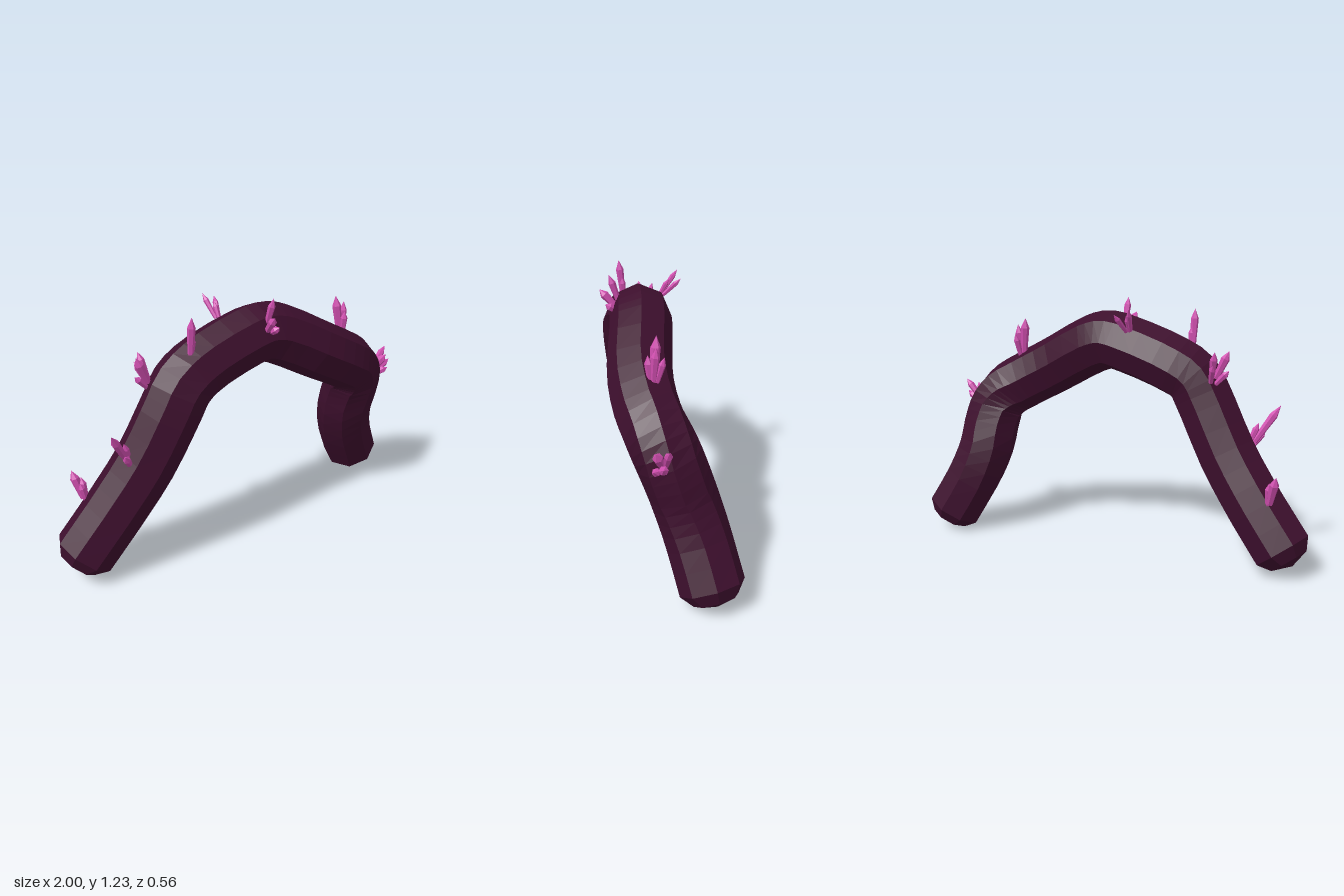
import * as THREE from 'three';

const bodyMat = new THREE.MeshStandardMaterial({ color: 0x3d0f2d, flatShading: true });
const crystalMat = new THREE.MeshStandardMaterial({ color: 0xd14fb0, flatShading: true });
const SIDES = 8, RADIUS = 0.145;
const V = (p) => new THREE.Vector3(...p);

// Centre line of the arched limb, from the left foot to the right foot
const path = new THREE.CatmullRomCurve3([
  [-0.885, 0.14, 0.02], [-0.72, 0.35, 0.05], [-0.58, 0.55, 0.08], [-0.45, 0.79, 0.105],
  [-0.39, 0.89, 0.105], [-0.28, 0.955, 0.09], [-0.04, 1.035, 0.085], [0.05, 1.05, 0.087],
  [0.14, 1.025, 0.093], [0.38, 0.90, 0.118], [0.55, 0.81, 0.10], [0.645, 0.75, 0.068],
  [0.695, 0.68, 0.035], [0.713, 0.59, 0.0], [0.722, 0.46, -0.045], [0.765, 0.32, -0.09],
  [0.872, 0.115, -0.145],
].map(V));

// Eight-sided tube swept along the path, with a bevelled, pointed cap at each end
function bodyGeometry() {
  const rings = [];
  const steps = 40;
  const addRing = (t, shift, radius) => {
    const tangent = path.getTangent(t);
    const centre = path.getPoint(t).addScaledVector(tangent, shift);
    const side = new THREE.Vector3(0, 0, 1);
    side.addScaledVector(tangent, -side.dot(tangent)).normalize();
    const up = new THREE.Vector3().crossVectors(tangent, side);
    rings.push({ centre, side, up, radius });
  };
  addRing(0, -0.085, 0);
  addRing(0, -0.055, 0.1);
  for (let i = 0; i <= steps; i++) addRing(i / steps, 0, RADIUS);
  addRing(1, 0.055, 0.1);
  addRing(1, 0.085, 0);

  const positions = [], index = [];
  rings.forEach(({ centre, side, up, radius }, r) => {
    for (let k = 0; k < SIDES; k++) {
      const a = (k / SIDES) * Math.PI * 2;
      const p = centre.clone()
        .addScaledVector(side, Math.cos(a) * radius)
        .addScaledVector(up, Math.sin(a) * radius);
      positions.push(p.x, p.y, p.z);
      if (r === 0) continue;
      const k2 = (k + 1) % SIDES, lo = (r - 1) * SIDES, hi = r * SIDES;
      if (r < rings.length - 1) index.push(lo + k, hi + k2, hi + k);
      if (r > 1) index.push(lo + k, lo + k2, hi + k2);
      else continue;
    }
  });
  const g = new THREE.BufferGeometry();
  g.setAttribute('position', new THREE.Float32BufferAttribute(positions, 3));
  g.setIndex(index);
  g.computeVertexNormals();
  return g;
}

// One crystal: a six-sided shard that flares slightly, then comes to a point
const shard = new THREE.LatheGeometry([
  [0, 0], [0.7, 0], [1, 0.72], [0, 1],
].map(([x, y]) => new THREE.Vector2(x, y)), 6);

function crystal(base, tip, radius) {
  const mesh = new THREE.Mesh(shard, crystalMat);
  const dir = tip.clone().sub(base);
  mesh.name = 'crystal';
  mesh.position.copy(base);
  mesh.scale.set(radius, dir.length(), radius);
  mesh.quaternion.setFromUnitVectors(new THREE.Vector3(0, 1, 0), dir.normalize());
  return mesh;
}

// Each cluster: a shared root on the limb, then [tip, radius] for every shard
const clusters = [
  { root: [-0.83, 0.37, -0.05], tips: [[[-0.87, 0.515, -0.09], 0.022], [[-0.835, 0.48, -0.07], 0.018], [[-0.85, 0.46, -0.05], 0.015]] },
  { root: [-0.68, 0.59, 0.12], tips: [[[-0.795, 0.78, 0.2], 0.02], [[-0.71, 0.7, 0.14], 0.016], [[-0.73, 0.66, 0.19], 0.018]] },
  { root: [-0.52, 0.9, 0.025], tips: [[[-0.585, 1.04, 0.05], 0.021], [[-0.54, 1.04, -0.02], 0.018], [[-0.59, 0.95, 0.04], 0.016], [[-0.545, 0.985, -0.05], 0.015]] },
  { root: [-0.365, 1.03, 0.145], tips: [[[-0.367, 1.215, 0.165], 0.019], [[-0.355, 1.13, 0.15], 0.016]] },
  { root: [-0.11, 1.11, -0.025], tips: [[[-0.145, 1.22, -0.105], 0.013], [[-0.075, 1.195, -0.115], 0.013], [[-0.11, 1.185, -0.06], 0.012]] },
  { root: [0.015, 1.09, 0.19], tips: [[[0.02, 1.25, 0.23], 0.017], [[-0.005, 1.175, 0.275], 0.02], [[0.04, 1.115, 0.25], 0.018]] },
  { root: [0.56, 0.94, 0.075], tips: [[[0.53, 1.135, 0.06], 0.022], [[0.58, 1.1, 0.065], 0.019], [[0.56, 1.06, 0.1], 0.018], [[0.575, 1.055, 0.03], 0.016]] },
  { root: [0.815, 0.67, 0.06], tips: [[[0.91, 0.79, 0.045], 0.018], [[0.92, 0.72, 0.07], 0.02], [[0.87, 0.765, 0.095], 0.022], [[0.88, 0.69, 0.105], 0.018]] },
];

export function createModel() {
  const model = new THREE.Group();
  model.name = 'crystalArch';

  const body = new THREE.Mesh(bodyGeometry(), bodyMat);
  body.name = 'archedLimb';
  model.add(body);

  clusters.forEach(({ root, tips }, i) => {
    const group = new THREE.Group();
    group.name = `crystalCluster${i + 1}`;
    const middle = tips.reduce((s, [t]) => s.add(V(t)), new THREE.Vector3()).divideScalar(tips.length);
    for (const [t, radius] of tips) {
      // Spread the shards a little around the shared root
      const tip = V(t);
      const base = V(root).addScaledVector(tip.clone().sub(middle), 0.3);
      group.add(crystal(base, tip, radius));
    }
    model.add(group);
  });
  return model;
}
